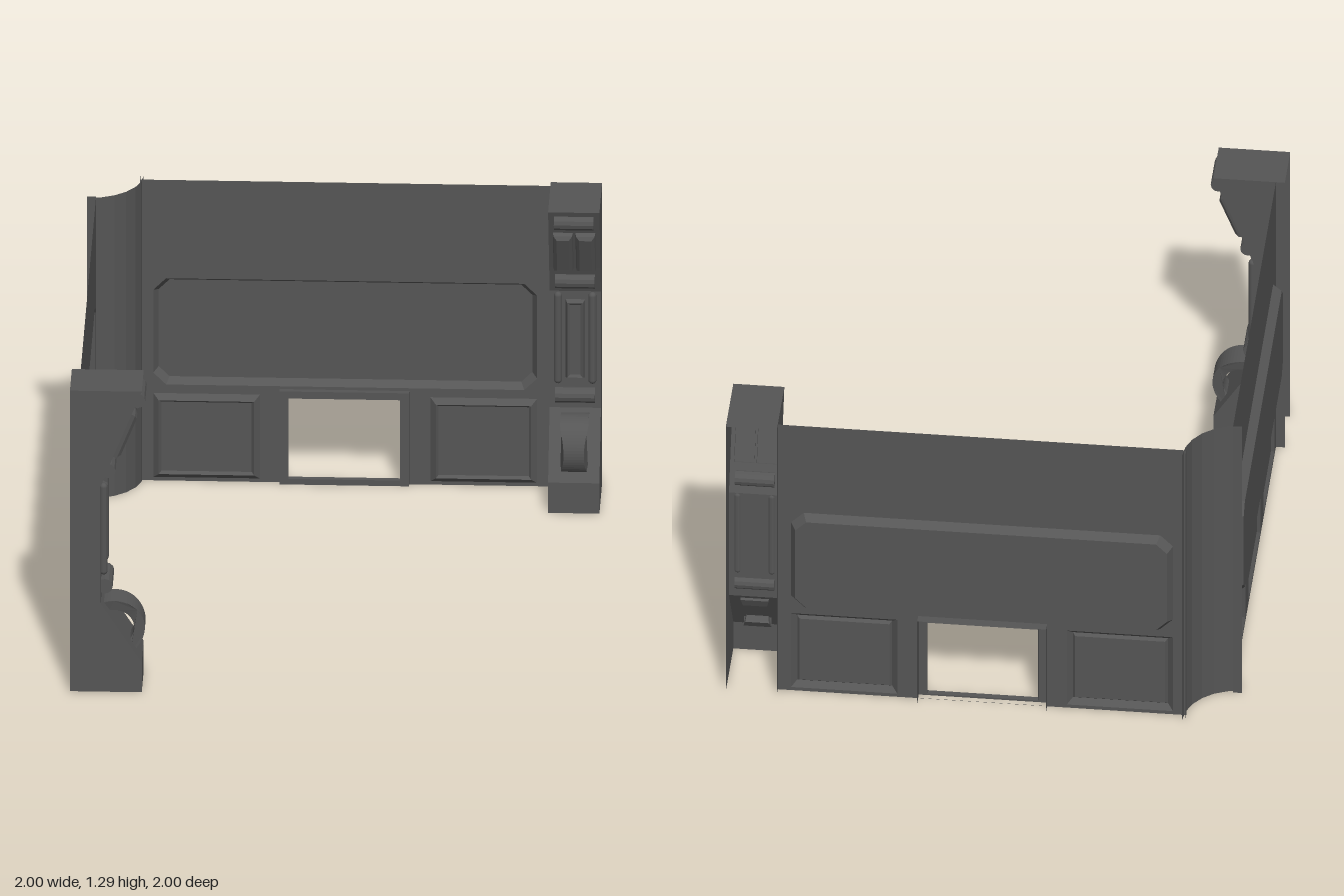
import * as THREE from 'three';

const H = 1.29, PLANE = 0.035, RAISED = 0.057;
const flat = new THREE.MeshStandardMaterial({ color: 0x555555, flatShading: true, side: THREE.DoubleSide });
const smooth = new THREE.MeshStandardMaterial({ color: 0x555555, side: THREE.DoubleSide });

function add(parent, name, geometry, material = flat) {
  const mesh = new THREE.Mesh(geometry, material);
  mesh.name = name;
  parent.add(mesh);
  return mesh;
}

const vec = pts => pts.map(([x, y]) => new THREE.Vector2(x, y));
const at = (pts, z) => pts.map(p => [p.x, p.y, z]);

// Rectangle outline, optionally with cut corners
function outline(x0, x1, y0, y1, c = 0) {
  if (!c) return vec([[x0, y0], [x0, y1], [x1, y1], [x1, y0]]);
  return vec([[x0 + c, y0], [x1 - c, y0], [x1, y0 + c], [x1, y1 - c],
    [x1 - c, y1], [x0 + c, y1], [x0, y1 - c], [x0, y0 + c]]);
}

// Band of quads between two 3D lines of points
function band(a, b, closed) {
  const pos = [], n = a.length;
  for (let i = 0; i < (closed ? n : n - 1); i++) {
    const j = (i + 1) % n;
    for (const p of [a[i], a[j], b[j], a[i], b[j], b[i]]) pos.push(...p);
  }
  const g = new THREE.BufferGeometry();
  g.setAttribute('position', new THREE.Float32BufferAttribute(pos, 3));
  g.computeVertexNormals();
  return g;
}

// Panel made of bevels, each a [depth, inset] step, closed by a flat face
function panel(parent, name, [x0, x1, y0, y1], z0, steps, cut = 0) {
  const group = new THREE.Group();
  group.name = name;
  let ring = outline(x0, x1, y0, y1, cut), z = z0;
  for (const [depth, i] of steps) {
    const next = outline(x0 + i, x1 - i, y0 + i, y1 - i, cut * 0.85);
    add(group, 'bevel', band(at(ring, z), at(next, depth), true));
    ring = next;
    z = depth;
  }
  add(group, 'face', new THREE.ShapeGeometry(new THREE.Shape(ring))).position.z = z;
  parent.add(group);
  return group;
}

function makeWall(name, hasWindow) {
  const wall = new THREE.Group();
  wall.name = name;
  const sheet = new THREE.Shape(outline(-0.8, 0.8, 0, H));
  const cutHole = pts => sheet.holes.push(new THREE.Path(pts));

  // Long recessed panel
  const recess = [-0.748, 0.748, 0.412, 0.868];
  cutHole(outline(...recess, 0.05));
  panel(wall, 'recessedPanel', recess, PLANE, [[0, 0.02]], 0.05);

  // Lower raised panels with a shallow inner step
  const lower = [[-0.54, 0.208], [0.54, 0.208]];
  if (!hasWindow) lower.push([0, 0.22]);
  for (const [c, w] of lower) {
    const rect = [c - w, c + w, 0.015, 0.375];
    cutHole(outline(...rect));
    panel(wall, 'lowerPanel', rect, PLANE, [[RAISED, 0.022], [RAISED - 0.012, 0.032]]);
  }

  // Frame round the opening, hollow behind
  if (hasWindow) {
    const rim = outline(-0.255, 0.25, 0.001, 0.4);
    const opening = outline(-0.22, 0.215, 0.025, 0.37);
    cutHole(rim);
    const face = new THREE.Shape(rim);
    face.holes.push(new THREE.Path(opening));
    add(wall, 'frameFace', new THREE.ShapeGeometry(face)).position.z = RAISED;
    add(wall, 'frameSides', band(at(rim, RAISED), at(rim, 0)));
    add(wall, 'frameLip', band(at(opening, RAISED), at(opening, PLANE), true));
  }
  add(wall, 'wallSheet', new THREE.ShapeGeometry(sheet)).position.z = PLANE;

  // End flanges turned outwards
  for (const s of [-1, 1]) {
    const flange = add(wall, 'endFlange', new THREE.PlaneGeometry(PLANE, H));
    flange.rotation.y = Math.PI / 2;
    flange.position.set(s * 0.8, H / 2, PLANE / 2);
  }
  return wall;
}

function makePillar() {
  const pillar = new THREE.Group();
  pillar.name = 'pillar';
  // Side profile as depth and height; back and bottom stay open
  const profile = [[0, H], [0.28, H], [0.165, 1.0], [0.12, 0.88], [0.12, 0.38], [0.28, 0.13], [0.28, 0]];
  add(pillar, 'pillarFront', band(profile.map(([d, y]) => [-0.1, y, d]), profile.map(([d, y]) => [0.1, y, d])));
  for (const s of [-1, 1]) {
    const side = add(pillar, 'pillarSide', new THREE.ShapeGeometry(new THREE.Shape(vec([...profile, [0, 0]]))));
    side.rotation.y = -Math.PI / 2;
    side.position.x = s * 0.1;
  }

  // Rounded cross bars
  for (const [d, y] of [[0.262, 1.24], [0.146, 0.937], [0.135, 0.442]]) {
    const bar = add(pillar, 'crossBar', new THREE.CylinderGeometry(0.031, 0.031, 0.155, 12));
    bar.rotation.z = Math.PI / 2;
    bar.position.set(0, y, d);
  }

  // Pair of blocks on the upper slope
  for (const s of [-1, 1]) {
    const block = panel(pillar, 'slopeBlock', [-0.04, 0.04, -0.1, 0.1], -0.005, [[0.018, 0.004], [0.03, 0.016]]);
    block.position.set(s * 0.044, 1.092, 0.201);
    block.rotation.x = Math.atan2(0.115, 0.29);
  }

  // Middle panel between two upright rods
  panel(pillar, 'middlePanel', [-0.038, 0.038, 0.51, 0.845], 0.12, [[0.142, 0.008], [0.135, 0.018]]);
  for (const s of [-1, 1]) {
    const rod = add(pillar, 'uprightRod', new THREE.CapsuleGeometry(0.016, 0.36, 4, 10), smooth);
    rod.position.set(s * 0.067, 0.685, 0.13);
  }

  // Curved, waisted brace across the lower slope
  const arc = new THREE.Shape();
  arc.absarc(0, 0, 0.12, -1.0, 2.0, false);
  arc.absarc(0, 0, 0.078, 2.0, -1.0, true);
  const g = new THREE.ExtrudeGeometry(arc, { depth: 0.11, bevelEnabled: false, curveSegments: 14 });
  g.translate(0, 0, -0.055);
  const p = g.attributes.position;
  for (let i = 0; i < p.count; i++) {
    p.setZ(i, p.getZ(i) * Math.min(1, 0.72 + 0.4 * (p.getY(i) / 0.12) ** 2));
  }
  const brace = add(pillar, 'curvedBrace', g);
  brace.rotation.y = -Math.PI / 2;
  brace.position.set(0, 0.25, 0.17);
  return pillar;
}

export function createModel() {
  const model = new THREE.Group();
  model.name = 'wallCorner';

  const backWall = makeWall('backWall', true);
  backWall.position.z = -1;
  const backPillar = makePillar();
  backPillar.position.x = 0.9;
  backWall.add(backPillar);

  const sideWall = makeWall('sideWall', false);
  sideWall.position.x = -1;
  sideWall.rotation.y = Math.PI / 2;
  const sidePillar = makePillar();
  sidePillar.position.x = -0.9;
  sideWall.add(sidePillar);
  model.add(backWall, sideWall);

  // Faceted quarter-round column in the corner
  const column = add(model, 'cornerColumn',
    new THREE.CylinderGeometry(0.213, 0.213, H, 6, 1, true, 0, Math.PI / 2));
  column.position.set(-1, H / 2, -1);
  return model;
}
